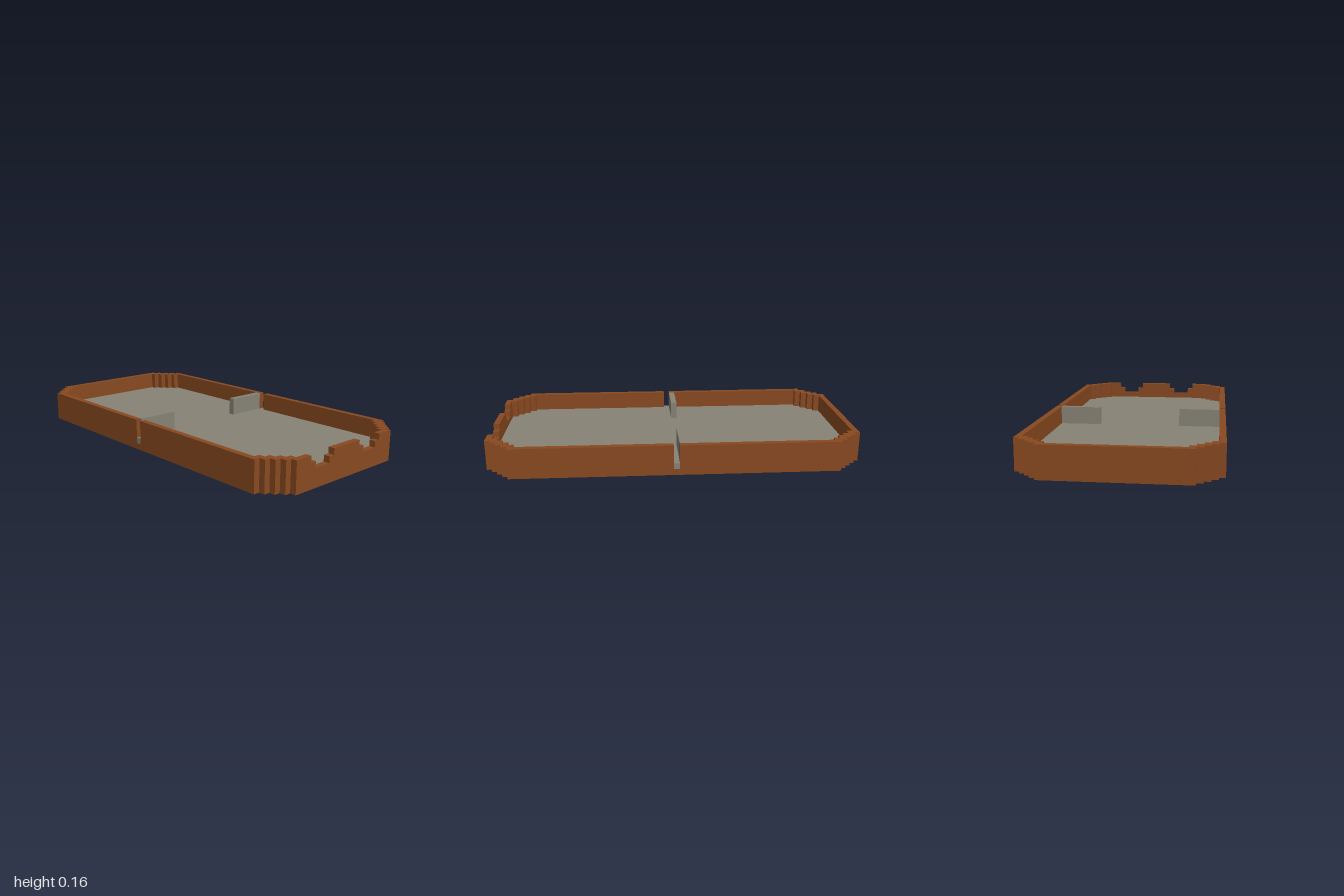
import * as THREE from 'three';

const U = 2 / 61; // one block

export function createModel() {
  const brown = new THREE.MeshStandardMaterial({ color: 0x884920 });
  brown.name = 'brown wood';
  const grey = new THREE.MeshStandardMaterial({ color: 0x868275 });
  grey.name = 'grey stone';

  const group = new THREE.Group();
  group.name = 'tray';

  const add = (name, geometry, material) => {
    const mesh = new THREE.Mesh(geometry, material);
    mesh.name = name;
    group.add(mesh);
  };
  const toShape = (pts) => new THREE.Shape(pts.map(([x, y]) => new THREE.Vector2(x * U, y * U)));

  // Horizontal slab from [x, z] points in blocks, between heights y0 and y1
  const slab = (pts, y0, y1) =>
    new THREE.ExtrudeGeometry(toShape(pts.map(([x, z]) => [x, -z])), { depth: (y1 - y0) * U, bevelEnabled: false })
      .rotateX(-Math.PI / 2)
      .translate(0, y0 * U, 0);

  const box = (x0, x1, y0, y1, z0, z1) =>
    new THREE.BoxGeometry((x1 - x0) * U, (y1 - y0) * U, (z1 - z0) * U)
      .translate(((x0 + x1) / 2) * U, ((y0 + y1) / 2) * U, ((z0 + z1) / 2) * U);

  // Stair-stepped corner, from the long side to the short side
  const corner = (inset) => {
    const pts = [];
    for (let i = 0; i < 5; i++) {
      const x = 15 - inset - i, z = 26.5 - inset + i;
      pts.push([x, z]);
      if (i < 4) pts.push([x - 1, z]);
    }
    return pts;
  };
  const outline = (inset) => {
    const c = corner(inset);
    const flip = (sx, sz) => c.map(([x, z]) => [x * sx, z * sz]);
    return [...c, ...flip(-1, 1).reverse(), ...flip(-1, -1), ...flip(1, -1).reverse()];
  };

  // Base and inset floor
  add('base', slab(outline(0), 0, 1), brown);
  add('floor', slab(outline(1), 1, 2), grey);

  // Side walls with stepped corners, leaving a slot at the middle
  const quarter = [[15, 0.5], ...corner(0), [10, 30.5], ...corner(1).reverse(), [14, 0.5]];
  for (const sx of [1, -1]) {
    const side = sx > 0 ? 'left' : 'right';
    for (const sz of [1, -1]) {
      const pts = quarter.map(([x, z]) => [x * sx, z * sz]);
      add(`${side}${sz > 0 ? 'Front' : 'Back'}Wall`, slab(pts, 1, 5), brown);
    }
    // Floor strip in the slot, and the divider beside it
    const [a, b] = sx > 0 ? [14, 15] : [-15, -14];
    add(`${side}SlotFloor`, box(a, b, 1, 2, -0.5, 0.5), grey);
    const [c, d] = sx > 0 ? [7, 14] : [-14, -7];
    add(`${side}Divider`, box(c, d, 2, 5, -1.5, -0.5), grey);
  }

  // End walls; the front one has two stepped notches
  add('backWall', box(-10, 10, 1, 5, -30.5, -29.5), brown);
  const notch = [[3, 5], [3, 4], [4, 4], [4, 3], [7, 3], [7, 4], [8, 4], [8, 5]];
  const frontPts = [
    [-10, 1], [10, 1], [10, 5],
    ...[...notch].reverse(),
    ...notch.map(([x, y]) => [-x, y]),
    [-10, 5],
  ];
  add('frontWall',
    new THREE.ExtrudeGeometry(toShape(frontPts), { depth: U, bevelEnabled: false }).translate(0, 0, 29.5 * U),
    brown);

  return group;
}
